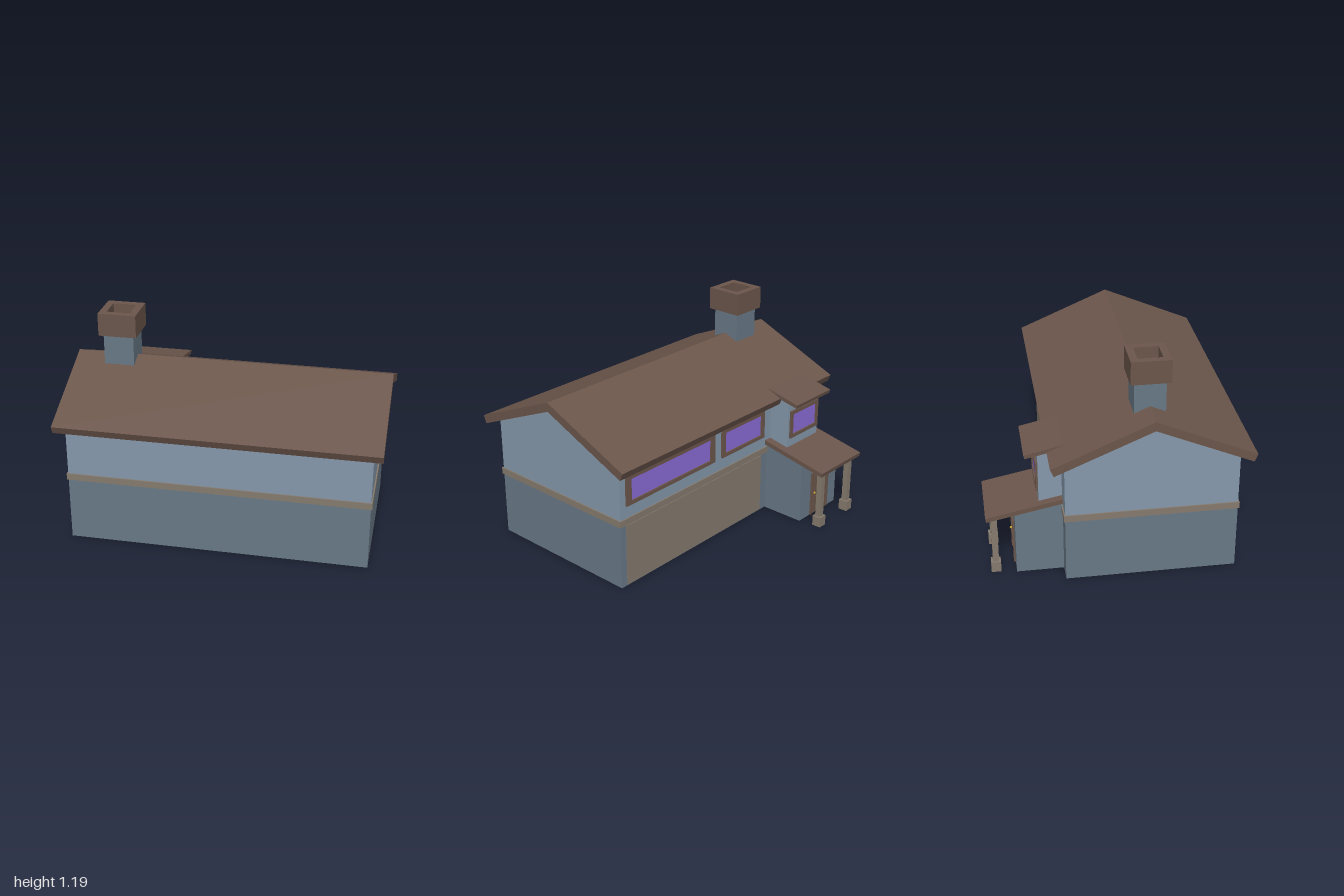
import * as THREE from 'three';

const mat = (color) => new THREE.MeshStandardMaterial({ color });

export function createModel() {
  const model = new THREE.Group();
  const house = new THREE.Group();
  house.name = 'house';
  house.rotation.y = THREE.MathUtils.degToRad(-21.5);
  house.position.z = 0.125;
  model.add(house);

  const upperWall = mat(0x8598ab), lowerWall = mat(0x687987);
  const roofBrown = mat(0x6b564b), stone = mat(0x857a6e);
  const glass = mat(0x8a6ad6), brass = mat(0xc9a227);

  const add = (name, geometry, material, parent = house) => {
    const mesh = new THREE.Mesh(geometry, material);
    mesh.name = name;
    parent.add(mesh);
    return mesh;
  };

  // Box given by its limits on each axis
  const box = (name, material, [x0, x1], [y0, y1], [z0, z1], parent) => {
    const g = new THREE.BoxGeometry(x1 - x0, y1 - y0, z1 - z0);
    g.translate((x0 + x1) / 2, (y0 + y1) / 2, (z0 + z1) / 2);
    return add(name, g, material, parent);
  };

  // Profile of [z, y] points swept along x
  const prism = (name, material, [x0, x1], profile, parent) => {
    const shape = new THREE.Shape(profile.map(([z, y]) => new THREE.Vector2(-z, y)));
    const g = new THREE.ExtrudeGeometry(shape, { depth: x1 - x0, bevelEnabled: false });
    g.rotateY(Math.PI / 2).translate(x0, 0, 0);
    return add(name, g, material, parent);
  };

  // Rectangle with a rectangular hole, extruded along z from 0
  const rect = (w, h) => [[-w, -h], [w, -h], [w, h], [-w, h]]
    .map(([x, y]) => new THREE.Vector2(x / 2, y / 2));
  const frameGeometry = (w, h, innerW, innerH, depth) => {
    const shape = new THREE.Shape(rect(w, h));
    shape.holes.push(new THREE.Path(rect(innerW, innerH)));
    return new THREE.ExtrudeGeometry(shape, { depth, bevelEnabled: false });
  };

  // Main walls, with the gabled upper storey
  const W = 0.814, D = 0.452;
  box('lowerWalls', lowerWall, [-W, W], [0.003, 0.38], [-D, D]);
  prism('upperWalls', upperWall, [-W, W],
    [[-D, 0.38], [D, 0.38], [D, 0.688], [0, 0.881], [-D, 0.688]]);
  box('wallBand', stone, [-W - 0.007, W + 0.007], [0.36, 0.397], [-D - 0.007, D + 0.007]);

  // Main roof
  prism('mainRoof', roofBrown, [-0.865, 0.865],
    [[0.527, 0.705], [0, 0.93], [-0.527, 0.705], [-0.509, 0.663], [0, 0.88], [0.509, 0.663]]);

  // Chimney: hollow stack and cap
  const chimney = new THREE.Group();
  chimney.name = 'chimney';
  chimney.position.x = -0.613;
  house.add(chimney);
  const stack = (name, material, size, y0, y1) => {
    const g = frameGeometry(size, size, 0.13, 0.13, y1 - y0);
    g.rotateX(-Math.PI / 2).translate(0, y0, 0);
    add(name, g, material, chimney);
  };
  stack('chimneyStack', lowerWall, 0.165, 0.885, 1.08);
  stack('chimneyCap', roofBrown, 0.209, 1.064, 1.19);

  // Entrance wing: lower room and tower above it
  prism('entranceRoom', lowerWall, [-0.71, -0.37],
    [[-0.703, 0], [-0.18, 0], [-0.18, 0.36], [-0.45, 0.415], [-0.703, 0.367]]);
  prism('entranceTower', upperWall, [-0.68, -0.4],
    [[-0.574, 0.37], [-0.44, 0.37], [-0.44, 0.7], [-0.574, 0.69]]);
  prism('towerRoof', roofBrown, [-0.695, -0.383],
    [[-0.645, 0.698], [-0.44, 0.744], [-0.44, 0.72], [-0.64, 0.677]]);
  prism('porchRoof', roofBrown, [-0.724, -0.353],
    [[-0.855, 0.357], [-0.448, 0.438], [-0.448, 0.412], [-0.85, 0.333]]);

  // Porch columns on square bases
  for (const x of [-0.41, -0.67]) {
    const column = new THREE.Group();
    column.name = 'porchColumn';
    column.position.set(x, 0, -0.81);
    house.add(column);
    box('columnShaft', stone, [-0.016, 0.016], [0.05, 0.35], [-0.016, 0.016], column);
    box('columnBase', stone, [-0.026, 0.026], [0, 0.06], [-0.026, 0.026], column);
  }

  // Windows on the back walls
  const windowAt = (x0, x1, wallZ, border) => {
    const w = x1 - x0, h = 0.165, y = 0.55;
    const frame = frameGeometry(w, h, w - 2 * border, h - 0.042, 0.012);
    frame.translate((x0 + x1) / 2, y, wallZ - 0.012);
    add('windowFrame', frame, roofBrown);
    box('windowPane', glass, [x0 + border / 2, x1 - border / 2],
      [y - 0.07, y + 0.07], [wallZ - 0.004, wallZ + 0.004]);
  };
  windowAt(0.097, 0.775, -D, 0.035);
  windowAt(-0.33, 0.037, -D, 0.028);
  windowAt(-0.67, -0.415, -0.574, 0.02);

  // Garage door
  box('garageDoor', stone, [-0.315, 0.775], [0.008, 0.355], [-D - 0.004, -D + 0.01]);

  // Front door with frame and knob
  box('doorPanel', roofBrown, [-0.615, -0.475], [0.003, 0.255], [-0.707, -0.69]);
  for (const x of [-0.625, -0.475]) {
    box('doorJamb', roofBrown, [x, x + 0.01], [0.003, 0.267], [-0.713, -0.69]);
  }
  box('doorHead', roofBrown, [-0.615, -0.475], [0.255, 0.267], [-0.713, -0.69]);
  add('doorKnob', new THREE.SphereGeometry(0.007, 12, 8), brass).position.set(-0.492, 0.137, -0.714);

  return model;
}
